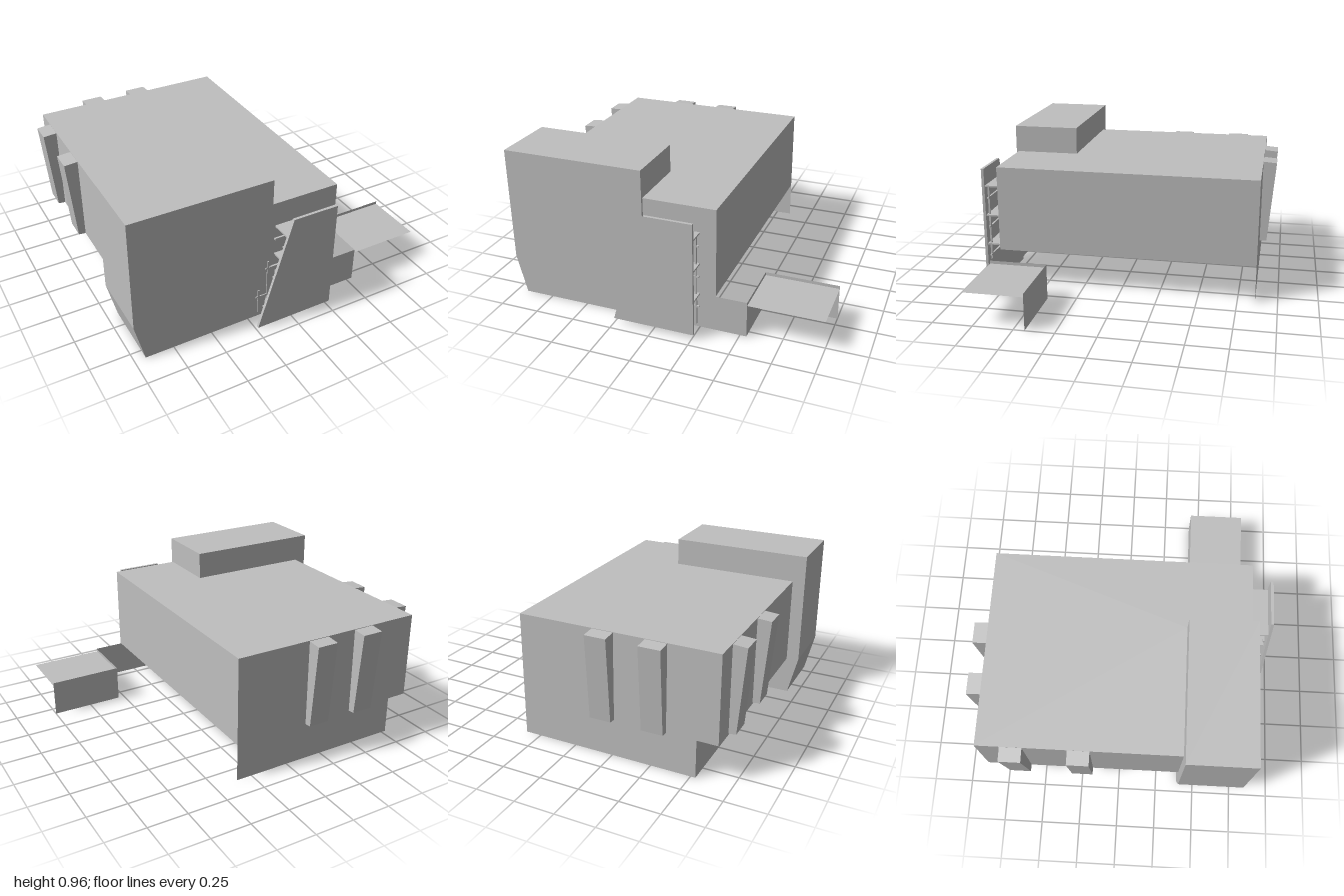
import * as THREE from 'three';

export function createModel() {
  const root = new THREE.Group();
  root.name = 'fortifiedBuilding';
  const stone = new THREE.MeshStandardMaterial({ color: 0xbfbfbf, flatShading: true, side: THREE.DoubleSide });
  stone.name = 'plain grey';

  function add(name, geometry, parent = root) {
    const mesh = new THREE.Mesh(geometry, stone);
    mesh.name = name;
    parent.add(mesh);
    return mesh;
  }
  // flat sheet fanned out from its first corner
  function sheet(name, corners) {
    const pos = [];
    for (let i = 1; i < corners.length - 1; i++) pos.push(...corners[0], ...corners[i], ...corners[i + 1]);
    const g = new THREE.BufferGeometry();
    g.setAttribute('position', new THREE.Float32BufferAttribute(pos, 3));
    g.computeVertexNormals();
    return add(name, g);
  }
  // box given by its two extreme corners
  function block(name, [x0, y0, z0], [x1, y1, z1], parent) {
    const g = new THREE.BoxGeometry(x1 - x0, y1 - y0, z1 - z0);
    g.translate((x0 + x1) / 2, (y0 + y1) / 2, (z0 + z1) / 2);
    return add(name, g, parent);
  }

  const L = -0.91, R = 0.35, B = -0.86, F = 0.8, H = 0.79, low = 0.24, inset = -0.78;
  const TL = -0.99, TR = -0.1, TB = 0.39, TF = 0.815, TH = 0.965;

  // main hall, open underneath
  sheet('hallRoof', [[TR, H, TB], [TR, H, F], [R, H, F], [R, H, B], [L, H, B], [L, H, TB]]);
  sheet('hallRightWall', [[R, low - 0.005, F], [R, low, B], [R, H, B], [R, H, F]]);
  sheet('hallBackWall', [[inset, low, B], [L, low, B], [L, H, B], [R, H, B], [R, 0, B], [inset, 0, B]]);
  sheet('hallLeftWall', [[L, low, B], [L, low, TB], [L, H, TB], [L, H, B]]);
  sheet('hallOverhang', [[L, low, B], [inset, low, B], [inset, low, TB], [L, low, TB]]);
  sheet('hallLowerWall', [[inset, 0, B], [inset, 0, TB], [inset, low, TB], [inset, low, B]]);
  sheet('hallFrontWall', [[R, 0.23, F], [R, H, F], [TR, H, F], [TR, 0, F], [0.54, 0, F], [0.54, 0.23, F]]);

  // corner tower with a chamfered foot
  sheet('towerFront', [[-0.93, 0, TF], [TR, 0, TF], [TR, TH, TF], [TL, TH, TF], [TL, 0.25, TF]]);
  sheet('towerSide', [[TL, 0.25, TB], [TL, 0.25, TF], [TL, TH, TF], [TL, TH, TB]]);
  sheet('towerFoot', [[-0.93, 0, TB], [-0.93, 0, TF], [TL, 0.25, TF], [TL, 0.25, TB]]);
  sheet('towerRoof', [[TL, TH, TB], [TL, TH, TF], [TR, TH, TF], [TR, TH, TB]]);
  sheet('towerInnerSide', [[TR, H, TB], [TR, H, TF], [TR, TH, TF], [TR, TH, TB]]);
  sheet('towerStep', [[TR, 0, F], [TR, 0, TF], [TR, H, TF], [TR, H, F]]);
  sheet('towerBackUpper', [[TL, H, TB], [TR, H, TB], [TR, TH, TB], [TL, TH, TB]]);
  sheet('towerBackOuter', [[TL, 0.25, TB], [TL, H, TB], [L, H, TB], [L, 0, TB], [-0.93, 0, TB]]);
  sheet('towerBackLower', [[L, 0, TB], [L, low, TB], [inset, low, TB], [inset, 0, TB]]);

  // low side yard
  sheet('yardSideWall', [[0.54, 0, F], [0.54, 0, 0.43], [0.54, 0.23, 0.43], [0.54, 0.23, F]]);
  sheet('yardBackWall', [[0.54, 0, 0.43], [1, 0, 0.43], [1, 0.23, 0.43], [0.54, 0.23, 0.43]]);
  sheet('yardDeck', [[0.54, 0.21, F], [1, 0.21, F], [1, 0.21, 0.43], [0.54, 0.21, 0.43]]);

  // tapering buttresses: wide at the top, leaning in toward the foot
  const profile = new THREE.Shape([[0, 0.24], [0.045, 0.245], [0.087, 0.78], [0, 0.787]].map(p => new THREE.Vector2(...p)));
  const buttress = new THREE.ExtrudeGeometry(profile, { depth: 0.135, bevelEnabled: false });
  for (const z of [-0.575, -0.17]) {
    const m = add('leftButtress', buttress);
    m.rotation.y = Math.PI;
    m.position.set(L, 0, z);
  }
  for (const x of [-0.595, -0.265]) {
    const m = add('backButtress', buttress);
    m.rotation.y = Math.PI / 2;
    m.position.set(x, 0, B);
  }

  // slanted shield standing off the front wall
  const shield = new THREE.Shape([[-0.25, 0.03], [0.26, 0.03], [0.26, 0.75], [-0.035, 0.75]].map(p => new THREE.Vector2(...p)));
  add('frontShield', new THREE.ExtrudeGeometry(shield, { depth: 0.018, bevelEnabled: false })).position.z = 0.922;

  // rack of shelves, rails and posts behind the shield
  const rack = new THREE.Group();
  rack.name = 'shieldRack';
  root.add(rack);
  for (const y of [0.23, 0.43, 0.63]) block('rackShelf', [-0.07, y - 0.005, F], [0.25, y + 0.005, 0.922], rack);
  for (const z of [0.815, 0.905]) {
    [0.15, 0.35, 0.55].forEach((y, i) => {
      block('rackRail', [-0.2 + i * 0.06, y - 0.005, z - 0.006], [0.25, y + 0.005, z + 0.006], rack);
    });
    [[-0.18, 0.2], [-0.12, 0.4], [0.23, 0.63]].forEach(([x, top]) => {
      block('rackPost', [x - 0.006, 0.03, z - 0.006], [x + 0.006, top, z + 0.006], rack);
    });
  }
  return root;
}
